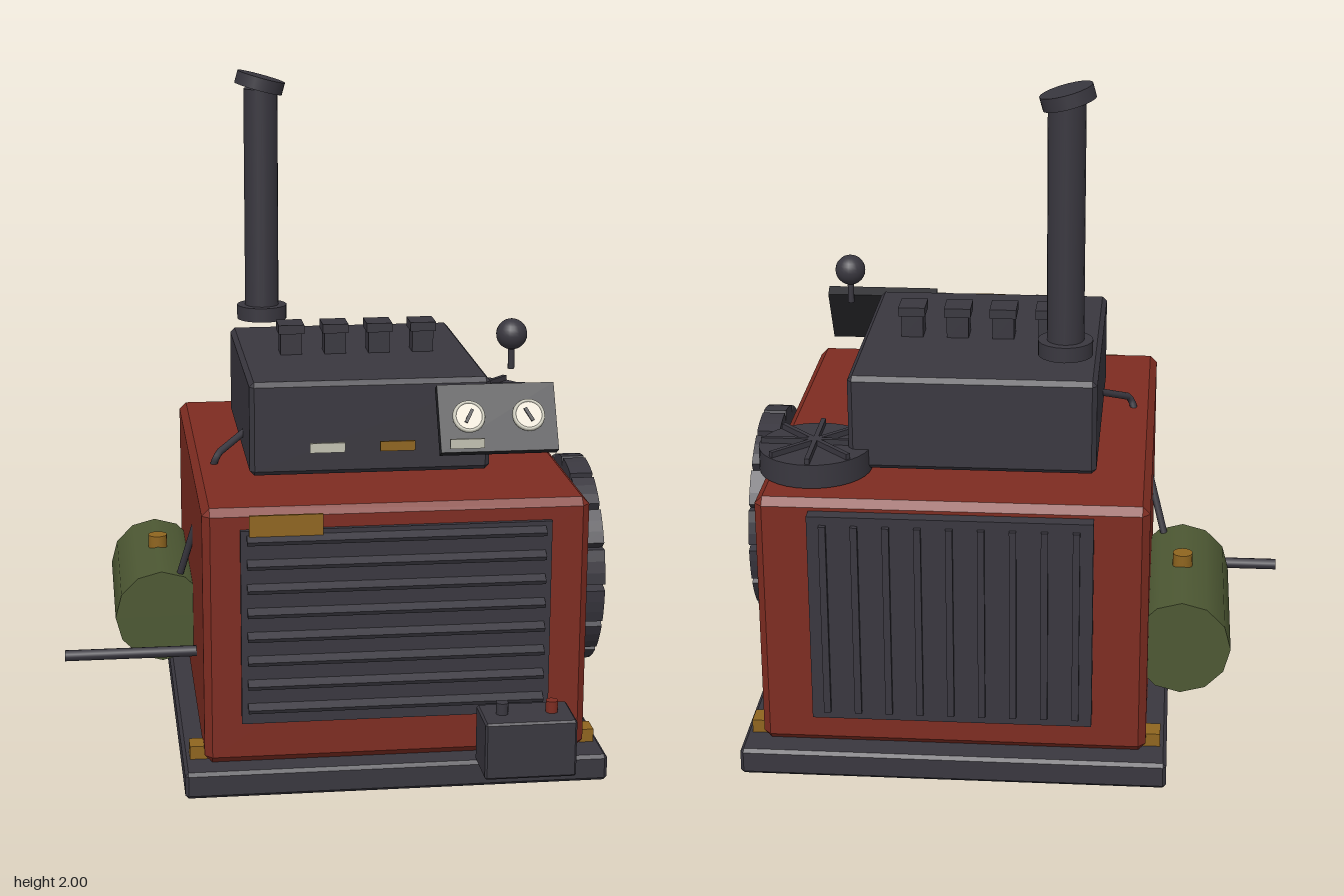
import * as THREE from 'three';
import { ConvexGeometry } from 'three/addons/geometries/ConvexGeometry.js';

const mat = (name, color) => {
  const m = new THREE.MeshStandardMaterial({ color });
  m.name = name;
  return m;
};

export function createModel() {
  const iron = mat('dark iron', 0x39373f);
  const black = mat('panel black', 0x242428);
  const red = mat('red paint', 0x7e2c21);
  const brass = mat('brass', 0x8f651f);
  const green = mat('olive green', 0x4d5833);
  const cream = mat('cream dial', 0xe6dfcf);
  const silver = mat('pale metal', 0xc3c1b2);

  const model = new THREE.Group();
  model.name = 'stationaryEngine';

  const add = (name, geometry, material, x = 0, y = 0, z = 0, parent = model) => {
    const mesh = new THREE.Mesh(geometry, material);
    mesh.name = name;
    mesh.position.set(x, y, z);
    parent.add(mesh);
    return mesh;
  };
  // box given by its extents on each axis
  const box = (name, material, [x0, x1], [y0, y1], [z0, z1], parent = model) =>
    add(name, new THREE.BoxGeometry(x1 - x0, y1 - y0, z1 - z0), material,
      (x0 + x1) / 2, (y0 + y1) / 2, (z0 + z1) / 2, parent);
  // box with chamfered edges
  const chamferBox = (name, material, [x0, x1], [y0, y1], [z0, z1], c) => {
    const h = [(x1 - x0) / 2, (y1 - y0) / 2, (z1 - z0) / 2];
    const points = [];
    for (const sx of [-1, 1]) for (const sy of [-1, 1]) for (const sz of [-1, 1]) {
      for (let k = 0; k < 3; k++) {
        const e = h.map((v, i) => (i === k ? v : v - c));
        points.push(new THREE.Vector3(sx * e[0], sy * e[1], sz * e[2]));
      }
    }
    return add(name, new ConvexGeometry(points), material, (x0 + x1) / 2, (y0 + y1) / 2, (z0 + z1) / 2);
  };
  const cylinder = (name, material, r, height, x, y, z, sides = 16, parent = model) =>
    add(name, new THREE.CylinderGeometry(r, r, height, sides), material, x, y, z, parent);

  // Main masses
  chamferBox('basePlate', iron, [-0.48, 0.77], [0, 0.08], [-0.78, 0.635], 0.01);
  chamferBox('engineBody', red, [-0.418, 0.71], [0.08, 0.857], [-0.717, 0.575], 0.022);
  chamferBox('cylinderHead', iron, [-0.257, 0.465], [0.87, 1.155], [-0.51, 0.287], 0.014);

  // Mounting brackets at the corners
  for (const x of [-0.425, 0.715]) for (const z of [-0.64, 0.495]) {
    box('mountingBracket', brass, [x - 0.035, x + 0.035], [0.08, 0.12], [z - 0.032, z + 0.032]);
  }

  // Chimney with flange and tilted rain cap
  cylinder('chimneyFlange', iron, 0.08, 0.045, -0.16, 1.228, -0.407, 20);
  cylinder('chimneyPipe', iron, 0.054, 0.74, -0.16, 1.575, -0.407, 20);
  cylinder('chimneyCap', iron, 0.078, 0.04, -0.162, 1.963, -0.407, 20).rotation.z = -0.27;

  // Valve blocks along the head
  for (let i = 0; i < 4; i++) {
    const x = -0.097 + i * 0.1375;
    box('valveBlock', iron, [x - 0.033, x + 0.033], [1.15, 1.23], [-0.151, -0.079]);
    box('valveCap', iron, [x - 0.04, x + 0.04], [1.222, 1.25], [-0.161, -0.069]);
  }

  // Control lever
  cylinder('leverRod', iron, 0.01, 0.09, 0.547, 1.198, 0.17, 10);
  add('leverKnob', new THREE.SphereGeometry(0.047, 20, 14), iron, 0.547, 1.26, 0.17);

  // Sloping gauge panel
  const panel = new THREE.Group();
  panel.name = 'gaugePanel';
  panel.position.set(0.467, 1.05, 0.373);
  panel.rotation.x = -0.515;
  model.add(panel);
  box('panelPlate', black, [-0.175, 0.175], [-0.103, 0.103], [-0.018, 0.018], panel);
  for (const s of [-1, 1]) {
    const x = s * 0.089;
    const rim = add('gaugeRim', new THREE.TorusGeometry(0.043, 0.006, 8, 24), silver, x, 0, 0.034, panel);
    rim.scale.z = 1.5;
    cylinder('gaugeDial', cream, 0.044, 0.022, x, 0, 0.029, 24, panel).rotation.x = Math.PI / 2;
    const needle = box('gaugeNeedle', black, [x - 0.005, x + 0.005], [-0.022, 0.022], [0.04, 0.045], panel);
    needle.rotation.z = s * 0.5;
  }

  // Round air cleaner with radial ribs
  cylinder('airCleaner', iron, 0.165, 0.072, 0.566, 0.896, -0.475, 32);
  for (let i = 0; i < 4; i++) {
    const rib = add('airCleanerRib', new THREE.BoxGeometry(0.318, 0.02, 0.014), iron, 0.566, 0.939, -0.475);
    rib.rotation.y = i * Math.PI / 4;
  }

  // Front grille
  box('frontGrille', iron, [-0.31, 0.595], [0.21, 0.797], [0.565, 0.59]);
  for (let i = 0; i < 8; i++) {
    const slat = add('grilleSlat', new THREE.BoxGeometry(0.868, 0.014, 0.036), iron, 0.142, 0.262 + i * 0.0729, 0.596);
    slat.rotation.x = 0.5;
  }
  box('namePlate', brass, [-0.285, -0.073], [0.777, 0.843], [0.588, 0.596]);

  // Row of small marker plates
  [silver, brass, silver].forEach((m, i) => {
    const x = -0.06 + i * 0.201;
    box('markerPlate', m, [x - 0.05, x + 0.05], [1.022, 1.05], [0.584, 0.592]);
  });

  // Rear radiator
  box('rearRadiator', iron, [-0.26, 0.553], [0.185, 0.825], [-0.758, -0.71]);
  for (let i = 0; i < 9; i++) {
    const x = -0.213 + i * 0.09;
    box('radiatorFin', iron, [x - 0.01, x + 0.01], [0.21, 0.8], [-0.772, -0.75]);
  }

  // Battery box and terminals
  chamferBox('batteryBox', iron, [0.375, 0.643], [0.08, 0.252], [0.618, 0.775], 0.006);
  cylinder('batteryTerminal', iron, 0.018, 0.04, 0.437, 0.267, 0.695, 12);
  cylinder('batteryTerminalRed', red, 0.018, 0.04, 0.583, 0.267, 0.695, 12);

  // Flywheel, built facing +z and turned to face +x
  const wheel = new THREE.Group();
  wheel.name = 'flywheel';
  wheel.position.set(0.745, 0.505, 0.03);
  wheel.rotation.y = Math.PI / 2;
  model.add(wheel);
  const rim = new THREE.Shape();
  const notches = 16, steps = 3;
  for (let i = 0; i < notches; i++) {
    const a = (i / notches) * Math.PI * 2;
    const put = (r, t) => {
      const p = [r * Math.cos(a + t), r * Math.sin(a + t)];
      if (i === 0 && r < 0.3) rim.moveTo(...p); else rim.lineTo(...p);
    };
    put(0.292, 0);
    const t0 = 0.032, span = Math.PI * 2 / notches - 2 * t0;
    for (let k = 0; k <= steps; k++) put(0.324, t0 + span * k / steps);
  }
  rim.closePath();
  const hole = new THREE.Path();
  hole.absarc(0, 0, 0.25, 0, Math.PI * 2, true);
  rim.holes.push(hole);
  add('flywheelRim', new THREE.ExtrudeGeometry(rim, { depth: 0.07, bevelEnabled: false, curveSegments: 24 }), iron, 0, 0, 0, wheel);
  for (let i = 0; i < 12; i++) {
    const a = (i + 0.5) * Math.PI / 6;
    const spoke = add('flywheelSpoke', new THREE.BoxGeometry(0.23, 0.025, 0.025), iron,
      0.15 * Math.cos(a), 0.15 * Math.sin(a), 0.035, wheel);
    spoke.rotation.z = a;
  }
  cylinder('flywheelHub', brass, 0.055, 0.09, 0, 0, 0.025, 20, wheel).rotation.x = Math.PI / 2;
  box('flywheelStand', iron, [0.705, 0.745], [0.08, 0.545], [-0.01, 0.07]);

  // Fuel tank with filler cap
  cylinder('fuelTank', green, 0.146, 0.565, -0.515, 0.345, -0.273, 12).rotation.set(Math.PI / 2, Math.PI / 2, 0, 'XYZ');
  cylinder('fuelCap', brass, 0.03, 0.05, -0.515, 0.5, -0.275, 16);

  // Fuel line from tank to head
  const line = new THREE.CurvePath();
  const pts = [[-0.465, 0.44, -0.03], [-0.347, 0.872, 0.085], [-0.335, 0.892, 0.08], [-0.25, 0.935, 0]]
    .map((p) => new THREE.Vector3(...p));
  for (let i = 0; i < 3; i++) line.add(new THREE.LineCurve3(pts[i], pts[i + 1]));
  add('fuelLine', new THREE.TubeGeometry(line, 40, 0.011, 8), iron);

  // Side outlet rod
  cylinder('outletRod', iron, 0.017, 0.42, -0.61, 0.286, 0.17, 12).rotation.z = Math.PI / 2;

  return model;
}
